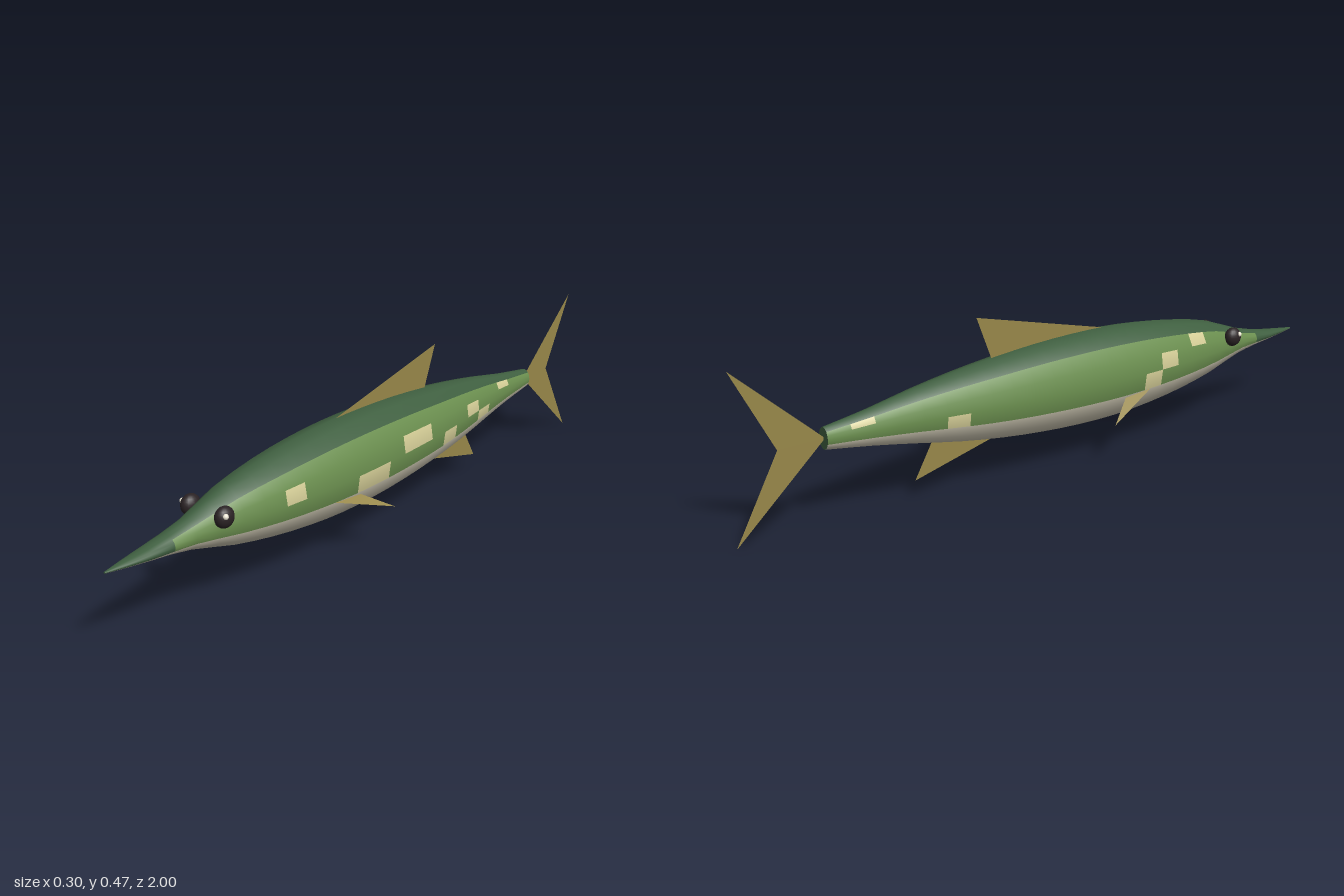
import * as THREE from 'three';

const COLORS = {
  back: 0x3f5f40, flank: 0x6b8f4f, belly: 0xc8c2ae, spot: 0xd6cf98,
  fin: 0x978749, eye: 0x2b2325, glint: 0xf0ead8,
};

// Evenly spaced body sections from tail to snout tip: [top y, bottom y, half width]
const SECTIONS = [
  [0.262, 0.202, 0.022], [0.283, 0.182, 0.036], [0.309, 0.158, 0.055], [0.33, 0.133, 0.073],
  [0.346, 0.114, 0.088], [0.358, 0.101, 0.097], [0.364, 0.094, 0.102], [0.364, 0.094, 0.103],
  [0.356, 0.104, 0.099], [0.34, 0.122, 0.089], [0.314, 0.148, 0.069], [0.268, 0.186, 0.04],
  [0.24, 0.208, 0.028], [0.226, 0.222, 0.003],
];
const SIDES = 16;
const RINGS = 26;
const TAIL_Z = -0.745;
const STEP = 0.0675;

// Pale patches as [ring, side strip], for each flank
const LEFT_SPOTS = [[17, 3], [12, 4], [13, 4], [9, 3], [10, 3], [7, 4], [5, 3], [4, 4], [2, 2]];
const RIGHT_SPOTS = [[18, 2], [16, 3], [15, 4], [5, 4], [1, 2]];

function material(name, extra = {}) {
  return new THREE.MeshStandardMaterial({ color: COLORS[name], ...extra });
}

function addMesh(parent, name, geometry, mat) {
  const mesh = new THREE.Mesh(geometry, mat);
  mesh.name = name;
  parent.add(mesh);
  return mesh;
}

// Chooses the colour band for one cell of the body
function bandOf(ring, side) {
  const strip = Math.min(side, SIDES - 1 - side);
  const spots = side < SIDES / 2 ? LEFT_SPOTS : RIGHT_SPOTS;
  if (spots.some(([r, s]) => r === ring && s === strip)) return 'spot';
  if (strip >= 5) return 'belly';
  return strip < 2 || ring >= 23 ? 'back' : 'flank';
}

// Lofted body, split into colour bands that share smooth normals
function makeBody() {
  const body = new THREE.Group();
  body.name = 'body';
  const profile = new THREE.CatmullRomCurve3(
    SECTIONS.map((s) => new THREE.Vector3(...s)), false, 'catmullrom', 0.5);
  const positions = [];
  for (let i = 0; i <= RINGS; i++) {
    const { x: top, y: bottom, z: width } = profile.getPoint(i / RINGS);
    for (let j = 0; j < SIDES; j++) {
      const a = (j / SIDES) * Math.PI * 2;
      positions.push(width * Math.sin(a),
        (top + bottom) / 2 + ((top - bottom) / 2) * Math.cos(a),
        Math.min(1, TAIL_Z + STEP * i));
    }
  }
  const bands = { back: [], flank: [], belly: [], spot: [] };
  for (let i = 0; i < RINGS; i++) {
    for (let j = 0; j < SIDES; j++) {
      const k = (j + 1) % SIDES;
      const a = i * SIDES + j, b = i * SIDES + k;
      const d = a + SIDES, c = b + SIDES;
      bands[bandOf(i, j)].push(a, d, b, d, c, b);
    }
  }
  const loft = new THREE.BufferGeometry();
  loft.setAttribute('position', new THREE.Float32BufferAttribute(positions, 3));
  loft.setIndex(Object.values(bands).flat());
  loft.computeVertexNormals();
  for (const [name, index] of Object.entries(bands)) {
    loft.setIndex(index);
    addMesh(body, name, loft.toNonIndexed(), material(name));
  }

  // Caps at the tail stalk and the snout tip
  for (const [name, end, z] of [['tailCap', 0, TAIL_Z], ['snoutTip', SECTIONS.length - 1, 1]]) {
    const [top, bottom, width] = SECTIONS[end];
    const cap = addMesh(body, name, new THREE.CircleGeometry(1, SIDES), material('back'));
    cap.scale.set(width, (top - bottom) / 2, 1);
    cap.position.set(0, (top + bottom) / 2, z);
    if (end === 0) cap.rotation.y = Math.PI;
  }
  return body;
}

// Thin flat fin, fanned from its first corner
function addFin(parent, name, corners) {
  const index = [];
  for (let i = 1; i < corners.length - 1; i++) index.push(0, i, i + 1);
  const geometry = new THREE.BufferGeometry();
  geometry.setAttribute('position', new THREE.Float32BufferAttribute(corners.flat(), 3));
  geometry.setIndex(index);
  geometry.computeVertexNormals();
  addMesh(parent, name, geometry, material('fin', { side: THREE.DoubleSide }));
}

export function createModel() {
  const fish = new THREE.Group();
  fish.name = 'fish';
  fish.add(makeBody());

  // Fins on the centre line
  addFin(fish, 'dorsalFin', [[0, 0.355, 0.22], [0, 0.465, -0.265], [0, 0.325, -0.21]]);
  addFin(fish, 'analFin', [[0, 0.125, -0.18], [0, 0.052, -0.475], [0, 0.165, -0.41]]);
  addFin(fish, 'tailFin', [[0, 0.232, -0.74], [0, 0.455, -0.995], [0, 0.23, -0.875], [0, 0, -1]]);

  // Paired fins and eyes
  for (const [label, s] of [['left', 1], ['right', -1]]) {
    addFin(fish, `${label}PectoralFin`,
      [[s * 0.094, 0.18, 0.29], [s * 0.149, 0.12, 0.105], [s * 0.097, 0.172, 0.19]]);

    const eye = addMesh(fish, `${label}Eye`, new THREE.SphereGeometry(0.029, 16, 12), material('eye'));
    eye.scale.x = 0.75;
    eye.position.set(s * 0.06, 0.264, 0.667);

    const glint = addMesh(fish, `${label}EyeGlint`, new THREE.SphereGeometry(0.008, 10, 8), material('glint'));
    glint.position.set(s * 0.076, 0.273, 0.678);
  }
  return fish;
}
